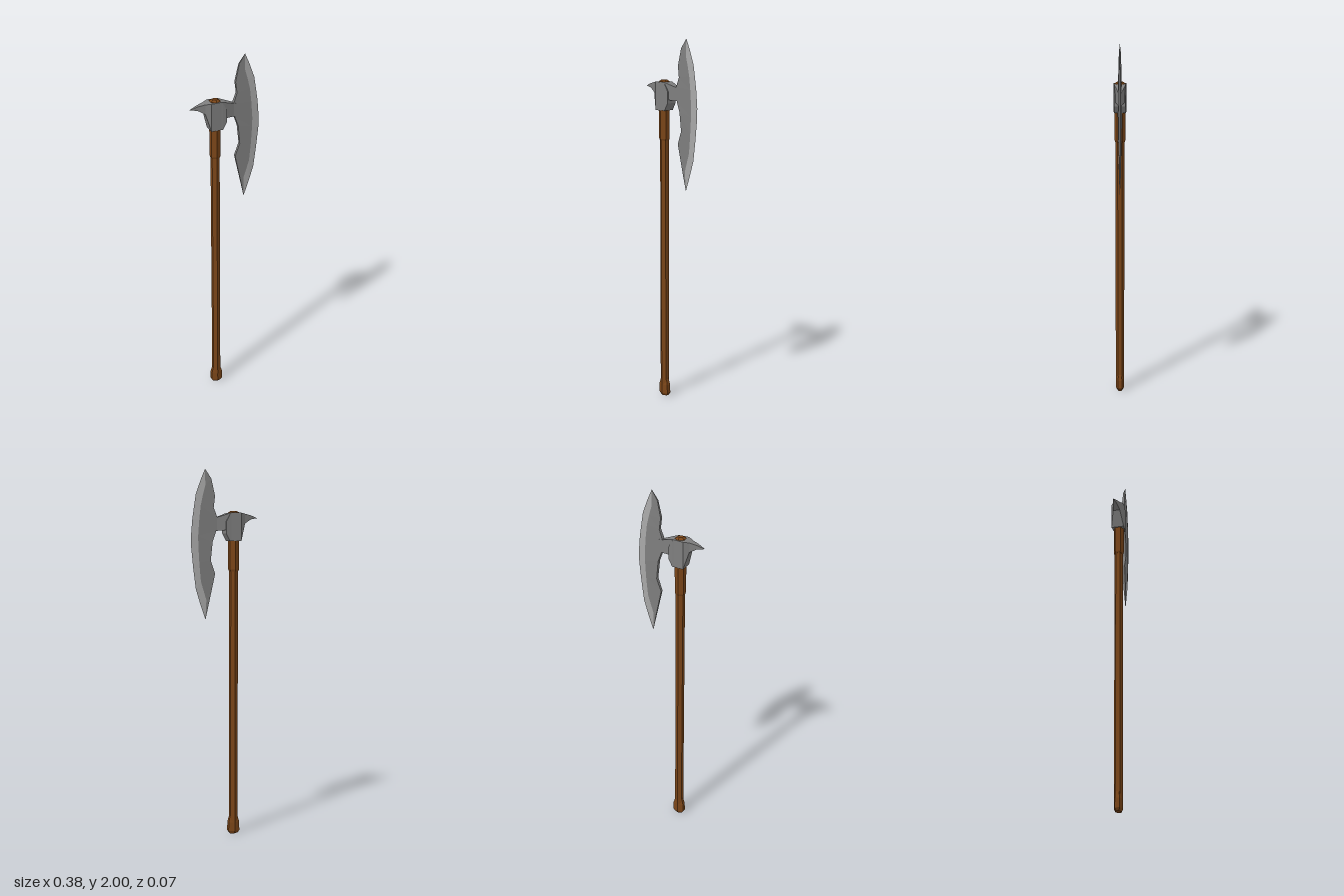
import * as THREE from 'three';

const SHAFT_X = -0.054;

const material = (color) => new THREE.MeshStandardMaterial({ color, flatShading: true });
const wood = material(0x7a4518);
const steel = material(0x7e7e7e);
const honedSteel = material(0xa8a8a8);

// Skins a list of closed rings that all have the same number of points
function loft(name, rings, mat) {
  const n = rings[0].length;
  const index = [];
  for (let r = 0; r < rings.length - 1; r++) {
    for (let i = 0; i < n; i++) {
      const j = (i + 1) % n;
      const a = r * n, b = a + n;
      index.push(a + i, b + i, b + j, a + i, b + j, a + j);
    }
  }
  const geometry = new THREE.BufferGeometry();
  geometry.setAttribute('position', new THREE.Float32BufferAttribute(rings.flat(2), 3));
  geometry.setIndex(index);
  const flat = geometry.toNonIndexed();
  flat.computeVertexNormals();
  const mesh = new THREE.Mesh(flat, mat);
  mesh.name = name;
  return mesh;
}

// Six-sided turned wooden part from [radius, height] pairs
function turned(name, profile, scaleX = 1) {
  const points = profile.map(([r, y]) => new THREE.Vector2(r, y));
  const mesh = new THREE.Mesh(new THREE.LatheGeometry(points, 6), wood);
  mesh.name = name;
  mesh.position.x = SHAFT_X;
  mesh.scale.x = scaleX;
  return mesh;
}

// Steel block running along x, from [x, top, bottom, half depth] sections
function block(name, sections) {
  const rings = sections.map(([x, top, bottom, d]) => [
    [x, top, d], [x, top, -d], [x, bottom, -d], [x, bottom, d],
  ]);
  return loft(name, rings, steel);
}

// Blade rows from top to bottom: inner edge, bevel ridge, cutting edge,
// half thickness at the inner edge and at the ridge
function createBlade() {
  const rows = [
    [0.108, 2.0, 0.108, 2.0, 0.108, 2.0, 0, 0],
    [0.075, 1.95, 0.108, 1.915, 0.132, 1.945, 0.005, 0.004],
    [0.055, 1.86, 0.122, 1.865, 0.16, 1.87, 0.008, 0.005],
    [0.063, 1.8, 0.135, 1.81, 0.171, 1.8, 0.009, 0.006],
    [0.045, 1.75, 0.143, 1.74, 0.18, 1.74, 0.011, 0.006],
    [0.05, 1.675, 0.15, 1.65, 0.188, 1.65, 0.011, 0.006],
    [0.07, 1.62, 0.149, 1.6, 0.187, 1.59, 0.011, 0.006],
    [0.08, 1.52, 0.144, 1.51, 0.176, 1.48, 0.009, 0.006],
    [0.055, 1.45, 0.135, 1.41, 0.162, 1.37, 0.008, 0.005],
    [0.088, 1.3, 0.104, 1.31, 0.136, 1.285, 0.005, 0.004],
    [0.108, 1.204, 0.108, 1.204, 0.108, 1.204, 0, 0],
  ];
  const body = rows.map(([ix, iy, rx, ry, , , ti, tr]) => [
    [ix, iy, ti], [rx, ry, tr], [rx, ry, -tr], [ix, iy, -ti],
  ]);
  const bevel = rows.map(([, , rx, ry, ex, ey, , tr]) => [
    [rx, ry, tr], [ex, ey, 0], [rx, ry, -tr],
  ]);
  const blade = new THREE.Group();
  blade.name = 'blade';
  blade.add(loft('bladeBody', body, steel), loft('cuttingEdge', bevel, honedSteel));
  return blade;
}

export function createModel() {
  const group = new THREE.Group();
  group.name = 'battleAxe';

  group.add(
    turned('shaft', [[0.024, 0.06], [0.024, 1.5]]),
    turned('upperGrip', [[0, 1.46], [0.025, 1.46], [0.029, 1.47], [0.03, 1.773], [0.016, 1.782], [0, 1.782]]),
    // The pommel flares sideways only
    turned('pommel', [[0, 0], [0.017, 0], [0.024, 0.015], [0.023, 0.065], [0.016, 0.1], [0, 0.1]], 1.54),
    // Back spike, socket and tapering neck
    block('axeHead', [
      [-0.19, 1.743, 1.743, 0],
      [-0.15, 1.758, 1.737, 0.01],
      [-0.112, 1.767, 1.715, 0.019],
      [-0.085, 1.772, 1.622, 0.035],
      [-0.03, 1.772, 1.622, 0.031],
      [-0.02, 1.77, 1.682, 0.029],
      [0.045, 1.748, 1.677, 0.012],
      [0.08, 1.745, 1.68, 0.01],
    ]),
    // Cheeks standing proud of the neck, closed at the blade side
    block('cheek', [
      [-0.06, 1.765, 1.622, 0.031],
      [-0.022, 1.765, 1.622, 0.031],
      [0, 1.725, 1.662, 0.03],
      [0, 1.69, 1.69, 0],
    ]),
    createBlade(),
  );
  return group;
}
